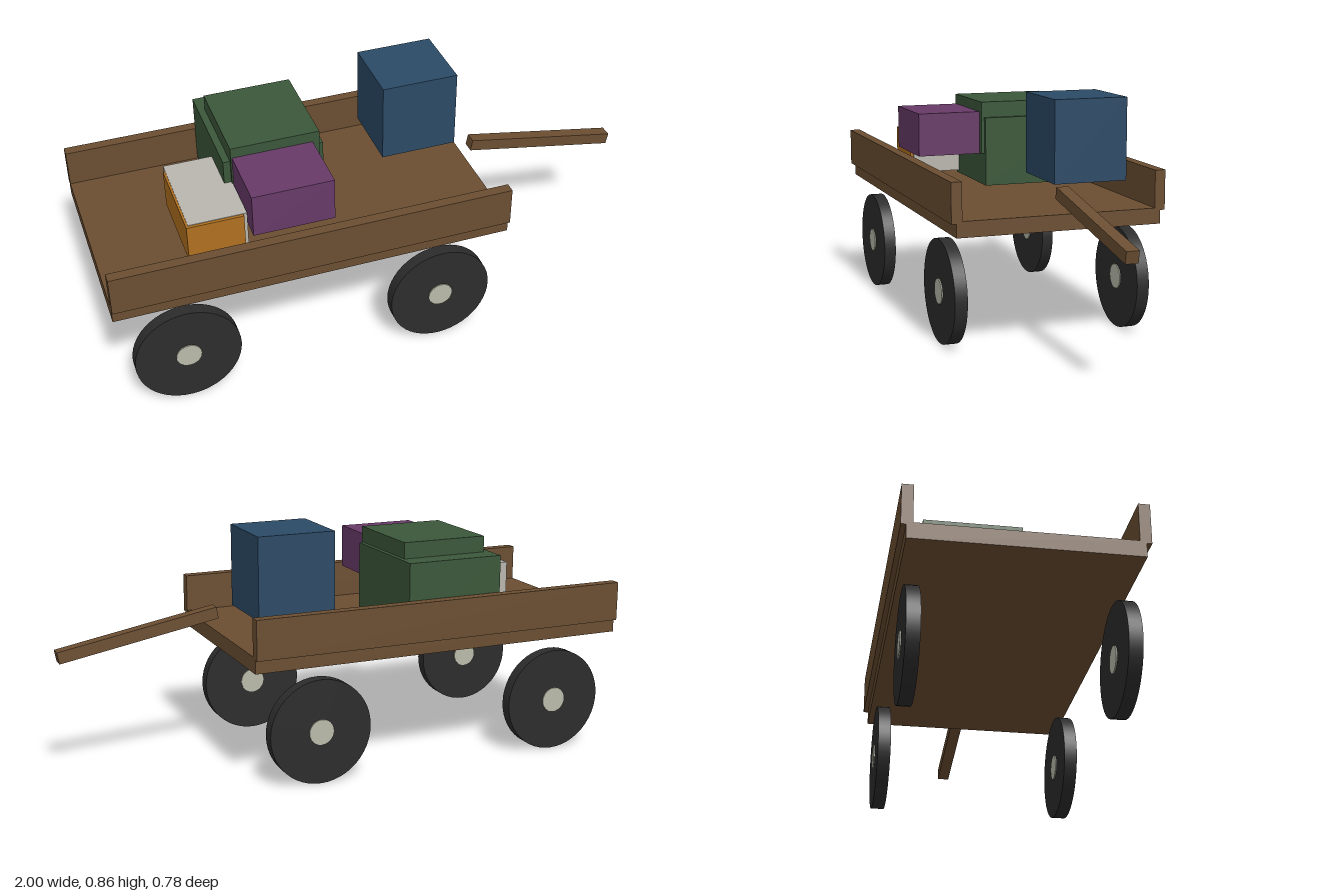
import * as THREE from 'three';

const mat = (name, color) => {
  const m = new THREE.MeshStandardMaterial({ color });
  m.name = name;
  return m;
};

export function createModel() {
  const wood = mat('wood', 0x6b4e32);
  const rubber = mat('rubber', 0x2c2c2c);
  const hubMetal = mat('hubMetal', 0xb9bba9);
  const green = mat('green', 0x3b5739);
  const blue = mat('blue', 0x2b4a66);
  const purple = mat('purple', 0x673a68);
  const orange = mat('orange', 0xb07020);
  const pale = mat('pale', 0xb9b6ae);

  const cart = new THREE.Group();
  cart.name = 'cart';

  // Box given by its extents along each axis
  const box = (name, material, [x0, x1], [y0, y1], [z0, z1]) => {
    const mesh = new THREE.Mesh(new THREE.BoxGeometry(x1 - x0, y1 - y0, z1 - z0), material);
    mesh.position.set((x0 + x1) / 2, (y0 + y1) / 2, (z0 + z1) / 2);
    mesh.name = name;
    cart.add(mesh);
    return mesh;
  };

  // Bed and side rails
  box('bed', wood, [-1, 0.415], [0.425, 0.481], [-0.371, 0.371]);
  box('leftRail', wood, [-1, 0.415], [0.473, 0.614], [0.35, 0.388]);
  box('rightRail', wood, [-1, 0.415], [0.473, 0.614], [-0.388, -0.35]);

  // Sloping pull handle
  const handle = box('handle', wood, [0.418, 0.997], [0.485, 0.527], [-0.022, 0.022]);
  handle.rotation.z = -0.18;

  // Wheels with hubs showing on both faces
  const wheelGeometry = new THREE.CylinderGeometry(0.187, 0.187, 0.045, 48).rotateX(Math.PI / 2);
  const hubGeometry = new THREE.CylinderGeometry(0.045, 0.045, 0.053, 24).rotateX(Math.PI / 2);
  for (const x of [-0.758, 0.172]) {
    for (const z of [-0.337, 0.337]) {
      const wheel = new THREE.Group();
      wheel.name = 'wheel';
      const tyre = new THREE.Mesh(wheelGeometry, rubber);
      tyre.name = 'tyre';
      const hub = new THREE.Mesh(hubGeometry, hubMetal);
      hub.name = 'hub';
      wheel.add(tyre, hub);
      wheel.position.set(x, 0.188, z);
      cart.add(wheel);
    }
  }

  // Cargo
  box('blueCrate', blue, [0.08, 0.36], [0.575, 0.865], [-0.265, 0.002]);
  box('lowerGreenCrate', green, [-0.525, -0.167], [0.491, 0.746], [-0.345, 0.07]);
  box('upperGreenCrate', green, [-0.5, -0.183], [0.61, 0.804], [-0.267, 0.081]);
  box('purpleBox', purple, [-0.495, -0.208], [0.608, 0.766], [0.04, 0.316]);
  box('paleBox', pale, [-0.7, -0.497], [0.502, 0.66], [-0.098, 0.254]);
  box('orangeBox', orange, [-0.708, -0.51], [0.518, 0.658], [-0.065, 0.265]);

  return cart;
}
